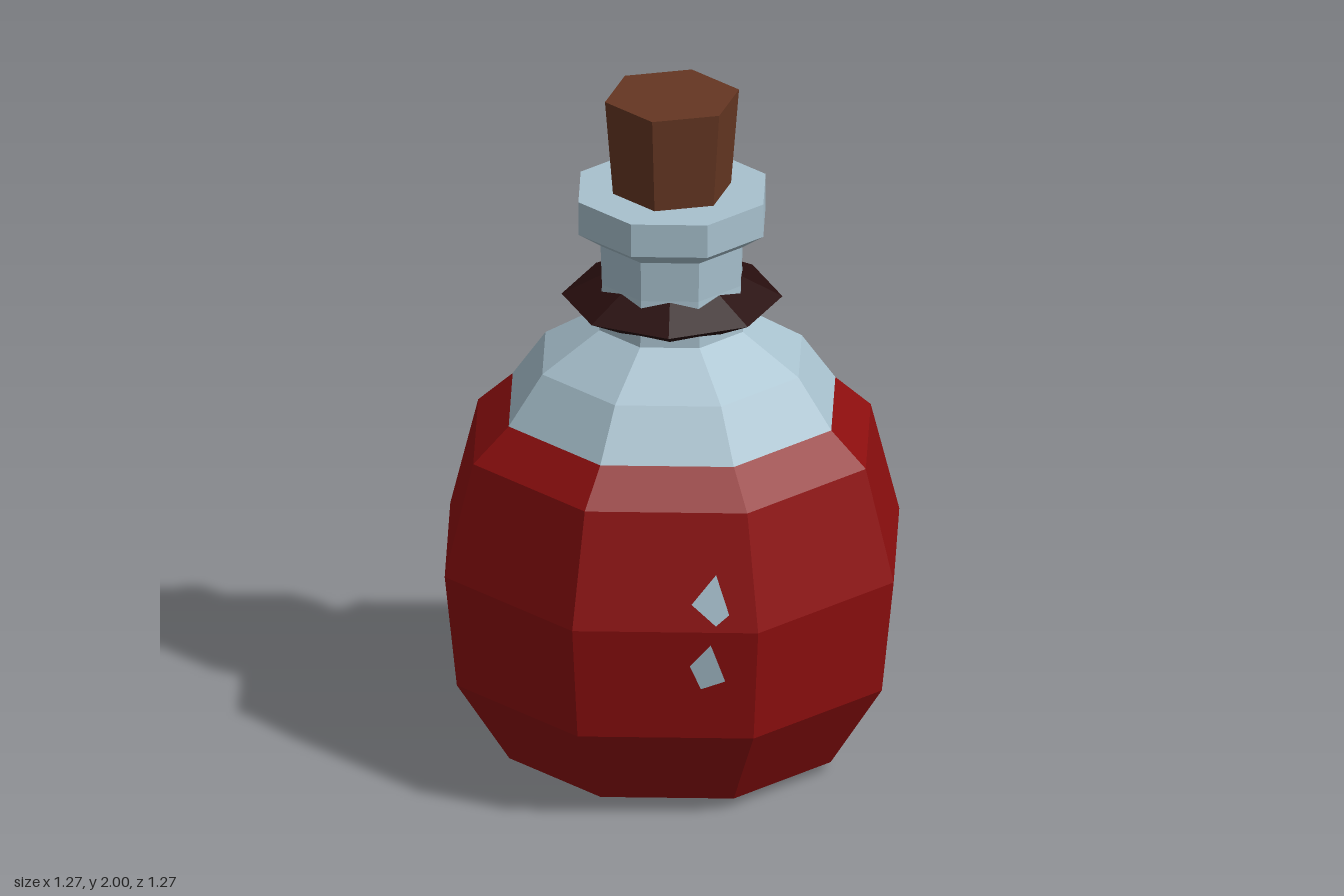
import * as THREE from 'three';

const makeMaterial = (name, color) => {
  const material = new THREE.MeshStandardMaterial({ color, flatShading: true });
  material.name = name;
  return material;
};

// Flat-to-flat octagon: profile widths are half-widths across the flats
const CORNER = 1 / Math.cos(Math.PI / 8);
const octagon = (profile) => new THREE.LatheGeometry(
  profile.map(([a, y]) => new THREE.Vector2(a * CORNER, y)), 8, Math.PI / 8);

const LIQUID = [[0, 0], [0.455, 0.03], [0.602, 0.28], [0.636, 0.62], [0.556, 0.955], [0.457, 1.055]];
const SHOULDER = [[0.457, 1.055], [0.363, 1.2], [0.203, 1.31]];
const NECK = [[0.203, 1.31], [0.196, 1.45], [0.2, 1.57]];
const RIM = [[0.2, 1.57], [0.262, 1.615], [0.262, 1.715], [0, 1.715]];

// Half-width of the body at a given height
function bodyWidth(y) {
  const i = LIQUID.findIndex((p) => p[1] > y);
  const [a0, y0] = LIQUID[i - 1], [a1, y1] = LIQUID[i];
  return a0 + (a1 - a0) * (y - y0) / (y1 - y0);
}

// Thin glint lying on the front right diagonal face, corners as [x, y]
function glint(corners) {
  const points = corners.map(([x, y]) =>
    new THREE.Vector3(x, y, Math.SQRT2 * (bodyWidth(y) + 0.006) + x));
  const geometry = new THREE.BufferGeometry().setFromPoints(points);
  geometry.setIndex([0, 2, 1, 0, 3, 2]);
  geometry.computeVertexNormals();
  return geometry;
}

export function createModel() {
  const group = new THREE.Group();
  const red = makeMaterial('red liquid', 0x8c0e0e);
  const glass = makeMaterial('pale glass', 0xa8c1ce);
  const cork = makeMaterial('brown cork', 0x653622);
  const cord = makeMaterial('dark cord', 0x280e0e);
  const add = (name, geometry, material) => {
    const mesh = new THREE.Mesh(geometry, material);
    mesh.name = name;
    group.add(mesh);
    return mesh;
  };

  // Bottle
  add('liquidBody', octagon(LIQUID), red);
  add('shoulder', octagon(SHOULDER), glass);
  add('neck', octagon(NECK), glass);
  add('rim', octagon(RIM), glass);

  // Sharp-edged collar, turned so its corners lie over the neck's flats
  const collar = [[0.197, 1.325], [0.313, 1.385], [0.197, 1.446]];
  add('neckCord', new THREE.LatheGeometry(collar.map(([r, y]) => new THREE.Vector2(r, y)), 8), cord);

  // Tapered six-sided stopper
  add('stopper', new THREE.CylinderGeometry(0.195, 0.171, 0.295, 6), cork).position.y = 1.8525;

  // Glints on the glass
  add('upperGlint', glint([[-0.388, 0.7], [-0.325, 0.784], [-0.317, 0.672], [-0.349, 0.64]]), glass);
  add('lowerGlint', glint([[-0.397, 0.513], [-0.36, 0.582], [-0.323, 0.466], [-0.37, 0.44]]), glass);

  return group;
}
